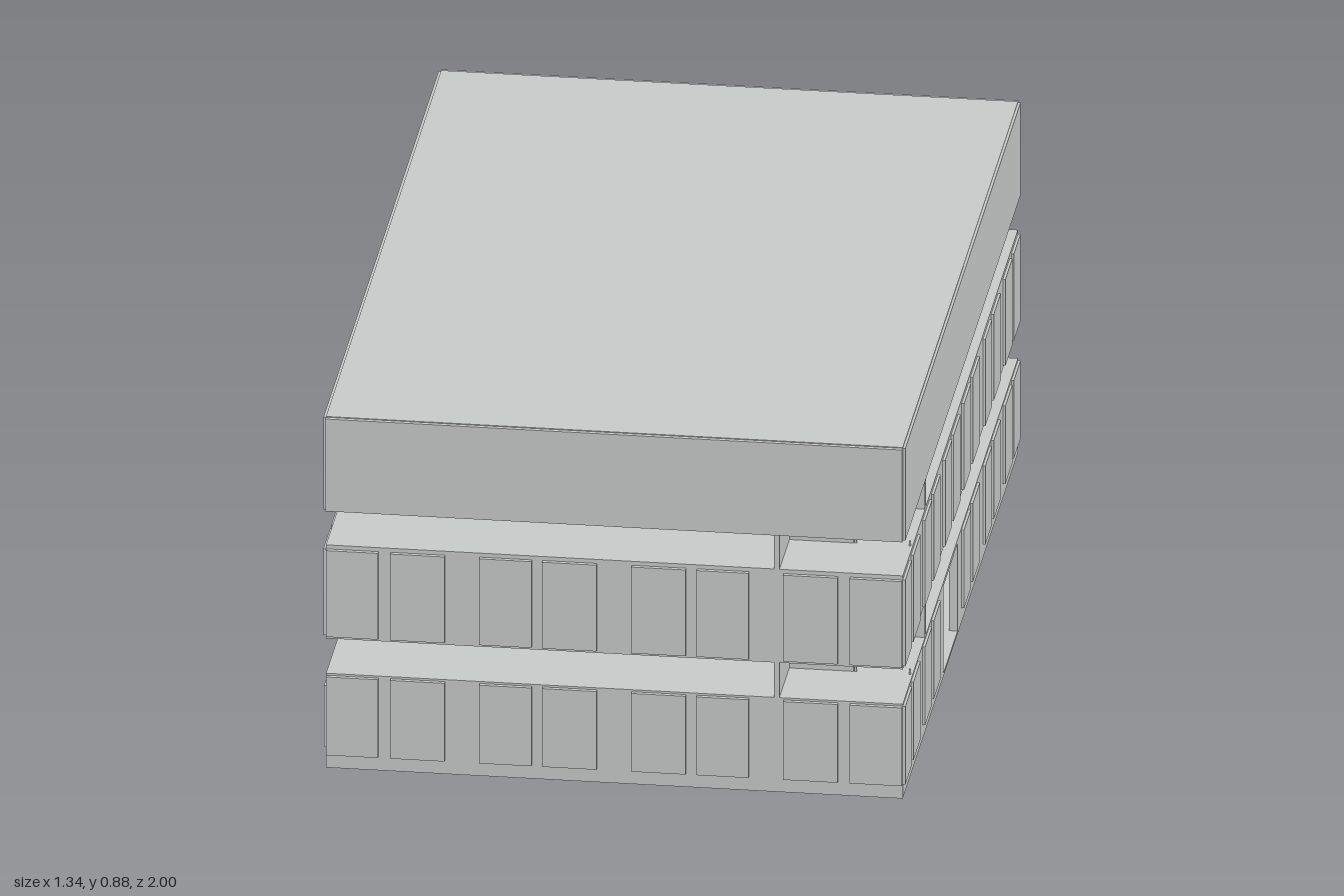
import * as THREE from 'three';

export function createModel() {
  const model = new THREE.Group();
  model.name = 'officeBuilding';
  const concrete = new THREE.MeshStandardMaterial({ color: 0xc6cac8 });
  concrete.name = 'pale concrete';
  const timber = new THREE.MeshStandardMaterial({ color: 0xaf8f70 });
  timber.name = 'brown timber';

  const HX = 0.664, HZ = 0.99, WALL = 0.02;

  // Box given by its extents on each axis
  function block(name, x0, x1, y0, y1, z0, z1, mat = concrete, parent = model) {
    const mesh = new THREE.Mesh(new THREE.BoxGeometry(x1 - x0, y1 - y0, z1 - z0), mat);
    mesh.position.set((x0 + x1) / 2, (y0 + y1) / 2, (z0 + z1) / 2);
    mesh.name = name;
    parent.add(mesh);
    return mesh;
  }

  // Facade panel spans, mirrored about the middle of each face
  const mirrorSpans = (half) => [...half, ...half.map(([a, b]) => [-b, -a])];
  const endSpans = mirrorSpans([[0.04, 0.165], [0.19, 0.31], [0.39, 0.515], [0.543, 0.663]]);
  const sideSpans = mirrorSpans([[0.04, 0.16], [0.187, 0.305], [0.385, 0.5], [0.53, 0.65], [0.73, 0.85], [0.875, 0.99]])
    .map(([a, b]) => (b < 0 && b > -0.1 ? [-0.14, -0.02] : a < -0.17 && a > -0.31 ? [-0.29, -0.17] : [a, b]));

  // Ground floor: hollow shell with open bays
  const ground = new THREE.Group();
  ground.name = 'groundFloor';
  model.add(ground);
  const TOP = 0.235, UNDER = 0.225;
  block('groundSlab', -HX, HX, 0, 0.008, -HZ, HZ, concrete, ground);
  block('groundCeiling', -HX, HX, UNDER, TOP, -HZ, HZ, concrete, ground);
  for (const s of [-1, 1]) {
    const zs = [s * HZ, s * (HZ - WALL)].sort((a, b) => a - b);
    block('endWall', -HX, HX, 0.008, UNDER, zs[0], zs[1], concrete, ground);
  }
  for (const [a, b] of [[-HZ + WALL, 0.05], [0.29, HZ - WALL]])
    block('leftWall', HX - WALL, HX, 0.008, UNDER, a, b, concrete, ground);
  for (const [a, b] of [[-0.72, -0.32], [-0.04, 0.37], [0.66, HZ - WALL]])
    block('rightWall', -HX, -HX + WALL, 0.008, UNDER, a, b, concrete, ground);
  for (const [a, b] of [[-0.65, -0.37], [0.03, 0.31], [0.7, 0.98]])
    block('widePanel', -0.67, -HX, 0.047, 0.2, a, b, concrete, ground);

  // Inner core with a framed door facing the entrance
  block('innerCore', -0.5, 0.2, 0.008, UNDER, 0.05, 0.55, concrete, ground);
  for (const z of [0.168, 0.28]) block('doorJamb', 0.2, 0.208, 0.008, 0.205, z, z + 0.006, timber, ground);
  block('doorHead', 0.2, 0.208, 0.199, 0.205, 0.174, 0.28, timber, ground);
  block('doorLeaf', 0.2, 0.204, 0.045, 0.199, 0.174, 0.28, concrete, ground);

  // First floor band
  block('firstFloor', -HX, HX, 0.322, 0.555, -HZ, HZ);

  // Facade panels on both storeys
  for (const [y0, y1, lower] of [[0.035, 0.23, true], [0.33, 0.545, false]]) {
    for (const [a, b] of endSpans) {
      block('frontPanel', a, b, y0, y1, HZ, 1.0);
      block('backPanel', a, b, y0, y1, -1.0, -HZ);
    }
    for (const [a, b] of sideSpans) {
      const inEntrance = lower && a > 0 && b < 0.31;
      if (!inEntrance) block('leftPanel', HX, 0.67, y0, y1, a, b);
      if (!lower) block('rightPanel', -0.67, -HX, y0, y1, a, b);
    }
  }

  // Roof block with cladding plates and a timber soffit
  block('roofBlock', -HX, HX, 0.643, 0.875, -HZ, HZ);
  for (const s of [-1, 1]) {
    block('roofSideCladding', s > 0 ? HX : -0.67, s > 0 ? 0.67 : -HX, 0.643, 0.873, -HZ, HZ);
    block('roofEndCladding', -HX, HX, 0.643, 0.873, s > 0 ? HZ : -1, s > 0 ? 1 : -HZ);
  }
  block('timberSoffit', -HX + 0.004, HX - 0.004, 0.639, 0.643, -HZ + 0.004, 0, timber);

  // Corner stair in each open gap
  for (const [y0, y1] of [[0.235, 0.322], [0.555, 0.643]]) {
    const stair = new THREE.Group();
    stair.name = 'cornerStair';
    model.add(stair);
    block('stairSideWall', 0.367, 0.38, y0, y1, 0.595, HZ, concrete, stair);
    block('stairBackWall', 0.38, HX, y0, y1, 0.595, 0.608, concrete, stair);
    block('stairDivider', 0.512, 0.528, y0, y1, 0.608, 0.82, concrete, stair);
    const steps = 5;
    for (let i = 0; i < steps; i++) {
      const front = 0.82 - i * 0.042;
      block('step', 0.38, 0.512, y0 + i * 0.0165, y0 + (i + 1) * 0.0165, 0.608, front, concrete, stair);
    }
    for (const x of [0.53, 0.655]) block('railPost', x, x + 0.005, y0, y0 + 0.012, 0.815, 0.82, concrete, stair);
  }

  return model;
}
